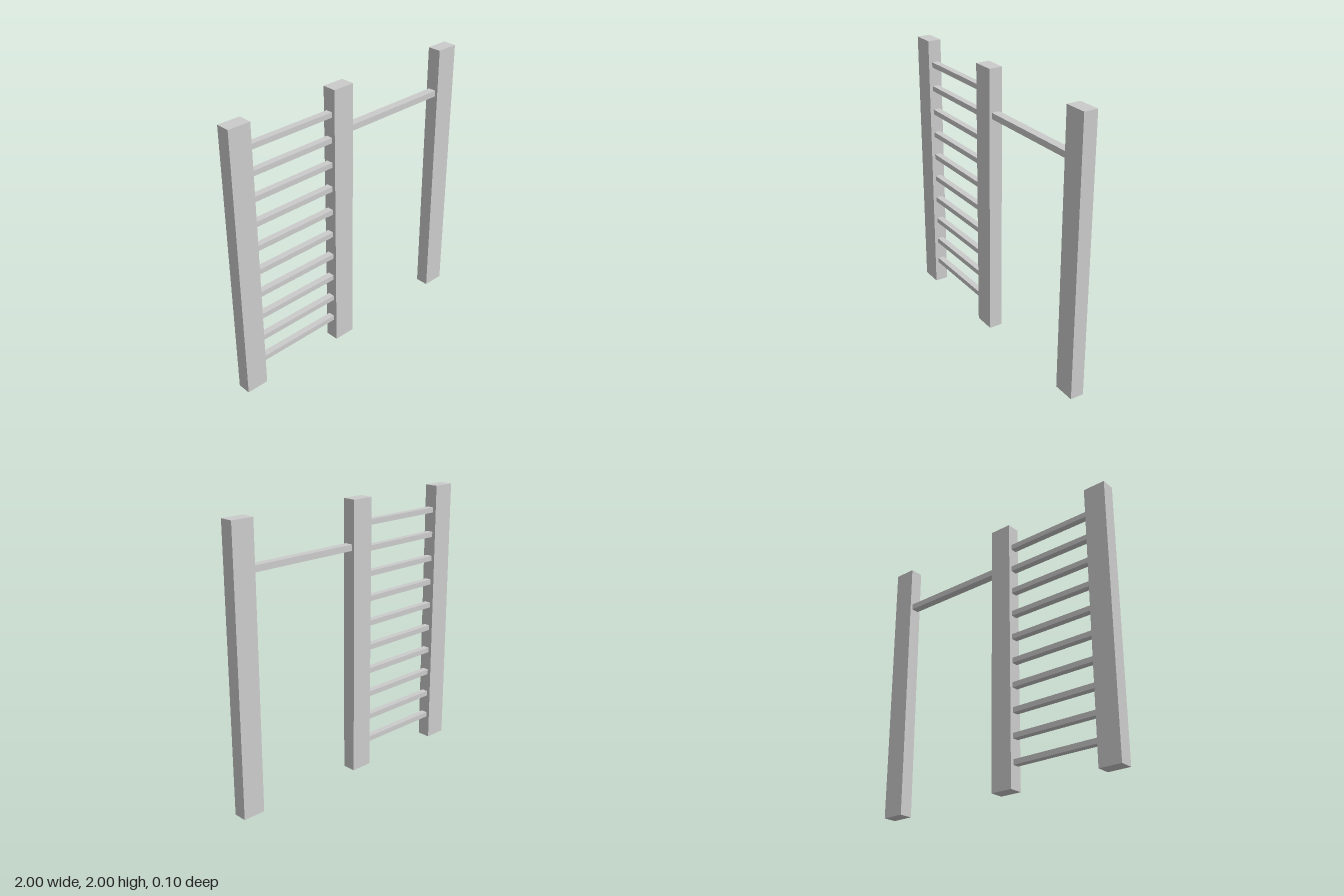
import * as THREE from 'three';

const material = new THREE.MeshStandardMaterial({ color: 0xcccccc, flatShading: true });

export function createModel() {
  const model = new THREE.Group();
  model.name = 'climbingFrame';

  // Box spanning x0..x1, centred on height y and z = 0
  function beam(name, x0, x1, y, height, depth) {
    const mesh = new THREE.Mesh(new THREE.BoxGeometry(x1 - x0, height, depth), material);
    mesh.name = name;
    mesh.position.set((x0 + x1) / 2, y, 0);
    model.add(mesh);
  }

  // Three upright posts
  beam('rightPost', -1, -0.836, 1, 2, 0.1);
  beam('middlePost', -0.168, -0.004, 1, 2, 0.1);
  beam('leftPost', 0.836, 1, 1, 2, 0.1);

  // Ladder rungs, evenly spaced up the narrow bay
  for (let i = 1; i <= 10; i++) {
    beam(`rung${i}`, -0.836, -0.168, 0.003 + (i * 2) / 11, 0.038, 0.048);
  }

  // Pull-up bar across the wide bay
  beam('pullUpBar', -0.004, 0.836, 1.673, 0.044, 0.06);

  return model;
}
